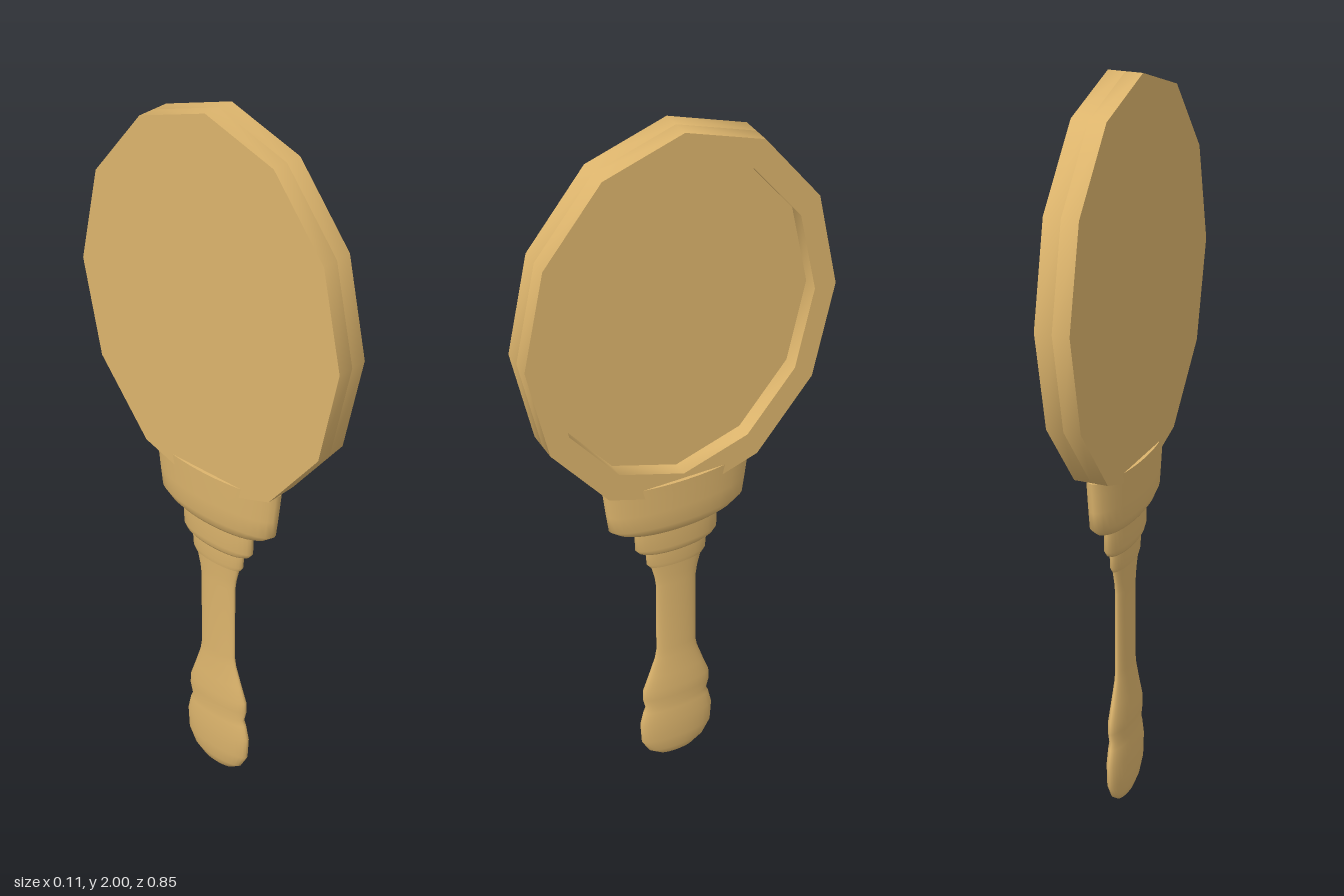
import * as THREE from 'three';
import { toCreasedNormals } from 'three/addons/utils/BufferGeometryUtils.js';

const SIDES = 12;
const CENTER_Y = 1.469;
const HALF = 0.046; // half thickness of the head

// Twelve-sided oval outline, drawn in the plane of the head
function oval(rz, ry) {
  const pts = [];
  for (let i = 0; i < SIDES; i++) {
    const a = (i / SIDES) * Math.PI * 2 + Math.PI / 2;
    pts.push(new THREE.Vector2(Math.cos(a) * rz, CENTER_Y + Math.sin(a) * ry));
  }
  return pts;
}

// Extrude an outline along x, from x0 to x1
function slab(shape, x0, x1) {
  const g = new THREE.ExtrudeGeometry(shape, { depth: x1 - x0, bevelEnabled: false });
  g.translate(0, 0, x0);
  g.rotateY(Math.PI / 2);
  return toCreasedNormals(g, 0.7);
}

// Turned profile of [radius, y] points, flattened along x
function turned(profile, flatten) {
  const pts = profile.map(([r, y]) => new THREE.Vector2(r, y));
  const g = toCreasedNormals(new THREE.LatheGeometry(pts, 32), 0.8);
  g.scale(flatten, 1, 1);
  return g;
}

export function createModel() {
  const group = new THREE.Group();
  const brass = new THREE.MeshStandardMaterial({ color: 0xdcb46c });
  brass.name = 'brass';

  const add = (name, geometry) => {
    const mesh = new THREE.Mesh(geometry, brass);
    mesh.name = name;
    group.add(mesh);
  };

  // Head: back board, and a raised rim around the recessed mirror
  const rim = new THREE.Shape(oval(0.427, 0.531));
  rim.holes.push(new THREE.Path(oval(0.367, 0.45).reverse()));
  add('rim', slab(rim, 0, HALF));
  add('backBoard', slab(new THREE.Shape(oval(0.427, 0.531)), -HALF, 0));
  add('mirrorPlate', slab(new THREE.Shape(oval(0.367, 0.45)), -0.004, 0.003));

  // Neck cup that carries the head
  add('neck', turned([
    [0, 0.835], [0.14, 0.835], [0.165, 0.845], [0.195, 0.868],
    [0.202, 0.92], [0.208, 0.97], [0.212, 1.005], [0, 1.005],
  ], 0.262));

  // Two stepped collars below the neck
  add('upperCollar', turned([
    [0, 0.752], [0.09, 0.752], [0.108, 0.76], [0.12, 0.775], [0.122, 0.84], [0, 0.84],
  ], 0.245));
  add('lowerCollar', turned([
    [0, 0.702], [0.078, 0.702], [0.087, 0.715], [0.09, 0.755], [0, 0.755],
  ], 0.245));

  // Grip with a swelling and a rounded pommel
  add('grip', turned([
    [0, 0], [0.05, 0.003], [0.085, 0.028], [0.108, 0.07], [0.112, 0.135], [0.102, 0.18],
    [0.095, 0.197], [0.103, 0.23], [0.102, 0.262], [0.085, 0.31], [0.065, 0.37],
    [0.06, 0.4], [0.06, 0.63], [0.064, 0.66], [0.075, 0.704], [0, 0.704],
  ], 0.235));

  return group;
}
